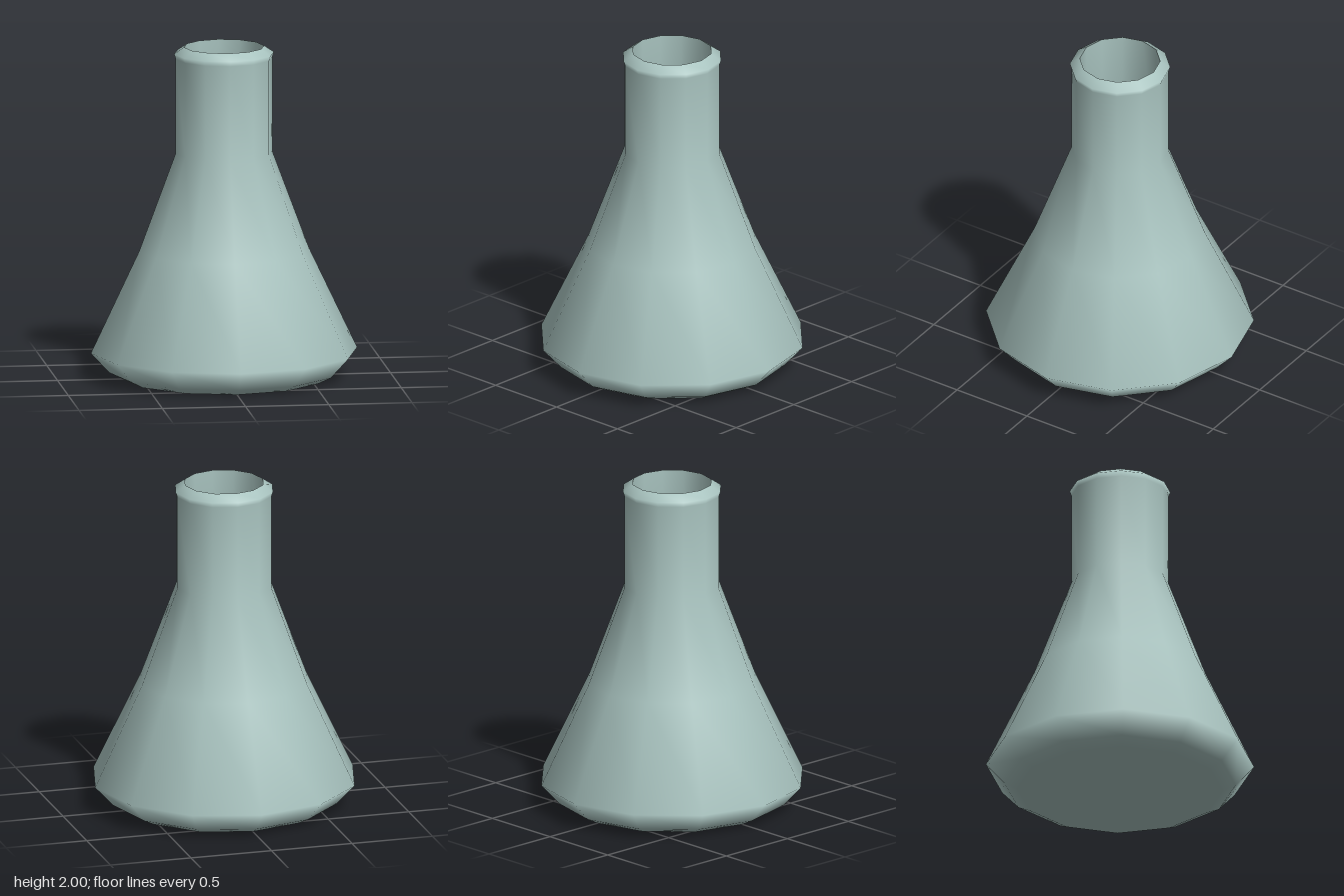
import * as THREE from 'three';

const SIDES = 12;

// Turn a list of [radius, height] pairs into a twelve-sided smooth surface
function turned(name, profile, material) {
  const points = profile.map(([r, y]) => new THREE.Vector2(r, y));
  const mesh = new THREE.Mesh(new THREE.LatheGeometry(points, SIDES), material);
  mesh.name = name;
  return mesh;
}

export function createModel() {
  const flask = new THREE.Group();
  flask.name = 'flask';
  const glass = new THREE.MeshStandardMaterial({ color: 0xa9c4c0 });

  // Outside: floor, bevelled base, cone, straight neck and rounded lip
  flask.add(turned('outerWall', [
    [0, 0], [0.61, 0], [0.69, 0.04], [0.8, 0.16],
    [0.51, 0.77], [0.29, 1.36], [0.29, 1.93],
    [0.3, 1.96], [0.24, 2.0],
  ], glass));

  // Inside: from the lip down the neck and cone to the inner floor
  flask.add(turned('innerWall', [
    [0.24, 2.0], [0.24, 1.35], [0.46, 0.75], [0.72, 0.18],
    [0.64, 0.08], [0.57, 0.05], [0, 0.05],
  ], glass));

  return flask;
}
